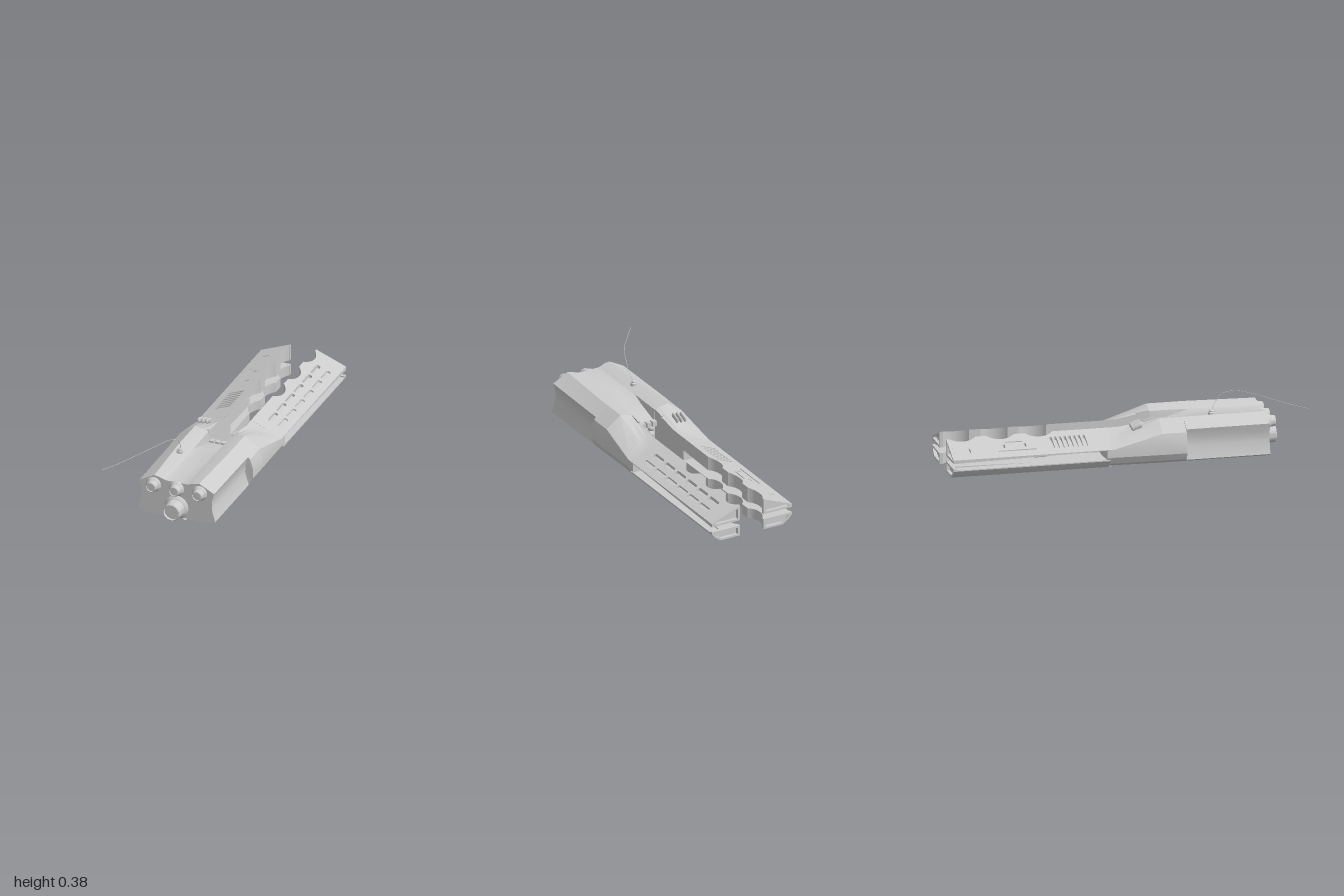
import * as THREE from 'three';
import { toCreasedNormals } from 'three/addons/utils/BufferGeometryUtils.js';

const CX = 0.058; // the hull is symmetric about this x

export function createModel() {
  const model = new THREE.Group();
  const hull = new THREE.Group();
  hull.name = 'device';
  hull.position.x = CX;
  model.add(hull);
  const material = new THREE.MeshStandardMaterial({ color: 0xcccccc });

  const add = (name, geometry, x = 0, y = 0, z = 0) => {
    const mesh = new THREE.Mesh(geometry, material);
    mesh.name = name;
    mesh.position.set(x, y, z);
    hull.add(mesh);
    return mesh;
  };

  // Mirrors a geometry in x and restores its winding
  const mirror = (source) => {
    const g = source.index ? source.toNonIndexed() : source.clone();
    g.scale(-1, 1, 1);
    for (const a of Object.values(g.attributes)) {
      const n = a.itemSize;
      for (let i = 0; i < a.count; i += 3) for (let k = 0; k < n; k++) {
        const p = (i + 1) * n + k, q = (i + 2) * n + k;
        [a.array[p], a.array[q]] = [a.array[q], a.array[p]];
      }
    }
    g.computeVertexNormals();
    return toCreasedNormals(g, 0.5);
  };
  const addPair = (name, g) => {
    add('left' + name, toCreasedNormals(g, 0.5));
    add('right' + name, mirror(g));
  };

  // Skin through rings ordered front to back, with caps at both ends
  const loft = (rings) => {
    const n = rings[0].length, index = [];
    for (let i = 0; i < rings.length - 1; i++) for (let j = 0; j < n; j++) {
      const a = i * n + j, b = i * n + (j + 1) % n;
      index.push(a, b, b + n, a, b + n, a + n);
    }
    const cap = (r, front) => {
      const pts = rings[r].map((p) => new THREE.Vector2(p[0], p[1]));
      for (const [a, b, c] of THREE.ShapeUtils.triangulateShape(pts, [])) {
        const ccw = THREE.ShapeUtils.area([pts[a], pts[b], pts[c]]) > 0;
        const t = ccw === front ? [a, b, c] : [a, c, b];
        index.push(...t.map((k) => k + r * n));
      }
    };
    cap(0, true);
    cap(rings.length - 1, false);
    const g = new THREE.BufferGeometry();
    g.setAttribute('position', new THREE.Float32BufferAttribute(rings.flat(2), 3));
    g.setIndex(index);
    g.computeVertexNormals();
    return g;
  };

  // Half cross-sections, from the inner top edge around to the inner bottom
  const bottom = [[0.2, 0.01], [0.15, 0.003], [0.07, 0.012]];
  const nose = [[0.07, 0.23], [0.1, 0.24], [0.135, 0.248], [0.225, 0.2], [0.212, 0.15], [0.211, 0.1], [0.232, 0.025], ...bottom];
  const neck = [[0.07, 0.231], [0.1, 0.241], [0.15, 0.252], [0.228, 0.2], ...nose.slice(4)];
  const shell = [[0.07, 0.231], [0.1, 0.241], [0.15, 0.252], [0.24, 0.187], [0.257, 0.13], [0.257, 0.07], [0.235, 0.03], ...bottom];
  const wedge = [[0.07, 0.193], [0.1, 0.181], [0.14, 0.165], [0.24, 0.127], [0.257, 0.118], ...shell.slice(5)];

  // Front hull, with a ramped recess in its top
  const fullRing = (half, z, floor) => {
    const right = [[0.065, floor], ...half];
    const left = right.map(([x, y]) => [-x, y]).reverse();
    return [[0, floor], ...right, [0, 0.014], ...left].map(([x, y]) => [x, y, z]);
  };
  add('frontHull', toCreasedNormals(loft([
    fullRing(nose, 0.82, 0.228), fullRing(neck, 0.42, 0.229), fullRing(neck, 0.34, 0.205),
    fullRing(shell, 0.339, 0.205), fullRing(shell, 0.2, 0.165),
  ]), 0.5));

  // Sloping shoulders on both sides of the slot
  const slopeZ = [0, -0.01, -0.025, -0.065, -0.07];
  addPair('Shoulder', loft([
    shell.map(([x, y]) => [x, y, 0.2]),
    wedge.map(([x, y], i) => [x, y + 0.003, slopeZ[i] ?? -0.08]),
    wedge.map(([x, y]) => [x, y, -0.12]),
  ]));

  // Arm outline seen from above, with three round bites in the inner edge
  const armShape = (outer, holes = []) => {
    const s = new THREE.Shape();
    const a = Math.acos(0.07 / 0.105);
    s.moveTo(outer, 0.98);
    s.lineTo(outer, 0.08);
    s.lineTo(0.07, 0.08);
    return finish(s, a, holes);
  };
  function finish(s, a, holes) {
    for (const c of [0.47, 0.69, 0.91]) {
      s.lineTo(0.07, c - 0.105 * Math.sin(a));
      s.absarc(0, c, 0.105, -a, c > 0.9 ? Math.asin(0.07 / 0.105) : a, false);
    }
    s.closePath();
    s.holes = holes;
    return s;
  }
  // Extrudes the outline upward, then shapes it between two slanted planes
  const armGeometry = (shape, low, high, t0 = 0, t1 = 1) => {
    const g = new THREE.ExtrudeGeometry(shape, { depth: 1, bevelEnabled: false, curveSegments: 14 });
    g.rotateX(-Math.PI / 2);
    const p = g.attributes.position;
    for (let i = 0; i < p.count; i++) {
      const x = p.getX(i), s = -p.getZ(i);
      p.setY(i, THREE.MathUtils.lerp(low(x, s), high(x, s), p.getY(i) > 0.5 ? t1 : t0));
    }
    g.computeVertexNormals();
    return g;
  };
  const upperLow = (x, s) => 0.117 - 0.019 * (s - 0.12);
  const upperHigh = (x) => 0.195 - 0.4 * (x - 0.07);
  const lowerHigh = (x, s) => 0.055 + 0.015 * (s - 0.12);

  // Rounded slot cut-out
  const slot = (x, s, w, l) => {
    const h = new THREE.Path(), r = Math.min(w, l) * 0.45, a = w / 2, b = l / 2;
    h.moveTo(x - a, s - b + r);
    h.quadraticCurveTo(x - a, s - b, x - a + r, s - b);
    h.lineTo(x + a - r, s - b);
    h.quadraticCurveTo(x + a, s - b, x + a, s - b + r);
    h.lineTo(x + a, s + b - r);
    h.quadraticCurveTo(x + a, s + b, x + a - r, s + b);
    h.lineTo(x - a + r, s + b);
    h.quadraticCurveTo(x - a, s + b, x - a, s + b - r);
    return h;
  };
  const vents = [], grille = [];
  for (let i = 0; i < 6; i++) for (const x of [0.146, 0.206]) vents.push(slot(x, 0.215 + i * 0.122, 0.024, 0.1));
  for (let i = 0; i < 8; i++) grille.push(slot(0.163, 0.225 + i * 0.027, 0.095, 0.014));
  for (const [x, s, w, l] of [[0.135, 0.63, 0.008, 0.1], [0.165, 0.57, 0.03, 0.012], [0.205, 0.62, 0.008, 0.22], [0.165, 0.69, 0.03, 0.012], [0.185, 0.89, 0.04, 0.008]])
    grille.push(slot(x, s, w, l));

  // Upper arms: solid base with a pierced cover, vents on one side, grille on the other
  addPair('UpperArmBase', armGeometry(armShape(0.257), upperLow, upperHigh, 0, 0.7));
  add('leftUpperArmCover', toCreasedNormals(armGeometry(armShape(0.257, vents), upperLow, upperHigh, 0.7, 1), 0.5));
  add('rightUpperArmCover', mirror(armGeometry(armShape(0.257, grille), upperLow, upperHigh, 0.7, 1)));

  // Lower arms with a bevelled outer edge
  addPair('LowerArm', armGeometry(armShape(0.2), () => 0.006, lowerHigh));
  const polygon = (pts) => new THREE.Shape(pts.map(([x, y]) => new THREE.Vector2(x, y)));
  const prism = (shape, depth, z) =>
    new THREE.ExtrudeGeometry(shape, { depth, bevelEnabled: false }).translate(0, 0, z);
  addPair('LowerArmEdge', prism(polygon([[0.2, 0.006], [0.235, 0.03], [0.257, 0.055], [0.257, 0.061], [0.2, 0.061]]), 0.88, -0.98));

  // Hollow frames closing the arm tips
  const frame = (outer, inner) => {
    const s = polygon(outer);
    s.holes.push(polygon(inner));
    return prism(s, 0.02, -1);
  };
  addPair('UpperTip', frame([[0.076, 0.1], [0.257, 0.1], [0.257, 0.12], [0.076, 0.192]], [[0.09, 0.112], [0.235, 0.112], [0.235, 0.118], [0.09, 0.174]]));
  addPair('LowerTip', frame([[0.076, 0.006], [0.2, 0.006], [0.235, 0.03], [0.257, 0.055], [0.257, 0.068], [0.076, 0.068]],
    [[0.09, 0.017], [0.195, 0.017], [0.225, 0.036], [0.24, 0.057], [0.09, 0.057]]));

  // Dovetail rail under the hull
  add('bottomRail', prism(polygon([[-0.052, 0], [0.052, 0], [0.03, 0.018], [-0.03, 0.018]]), 0.62, 0.2));

  // Front nozzles: three small, one large
  const nozzle = (pts) => toCreasedNormals(
    new THREE.LatheGeometry(pts.map(([r, h]) => new THREE.Vector2(r, h)), 36).rotateX(Math.PI / 2), 0.5);
  const small = nozzle([[0.044, -0.01], [0.044, 0.006], [0.039, 0.014], [0.034, 0.02], [0.03, 0.045], [0.026, 0.048], [0.024, 0.042], [0, 0.042]]);
  for (const x of [-0.139, 0, 0.139]) add('smallNozzle', small, x, 0.19, 0.82);
  add('largeNozzle', nozzle([[0.07, -0.01], [0.07, 0.01], [0.062, 0.02], [0.056, 0.024], [0.051, 0.076], [0.046, 0.082], [0.043, 0.07], [0, 0.07]]), 0, 0.076, 0.82);

  // Studs at the end of the slot
  const stud = new THREE.SphereGeometry(0.02, 16, 10);
  for (let i = 0; i < 3; i++) for (let j = 0; j < 3; j++) add('stud', stud, (i - 1) * 0.042, 0.05 + j * 0.04, 0.196);
  for (let i = 0; i < 4; i++) add('contactBlock', new THREE.BoxGeometry(0.026, 0.03, 0.03), (i - 1.5) * 0.035, 0.16, 0.185);
  for (const s of [-1, 1]) {
    const bracket = add('recessBracket', new THREE.BoxGeometry(0.012, 0.02, 0.07), s * 0.074, 0.222, 0.16);
    bracket.rotation.x = -0.17;
  }

  // Three fins and a round cover on the slopes
  for (const x of [-0.175, -0.15, -0.125]) {
    const fin = add('slopeFin', new THREE.CapsuleGeometry(0.008, 0.05, 4, 10), x, 0.2227 + 0.1 * (x + 0.15), 0.068);
    fin.rotation.x = Math.PI / 2 - 0.33;
    fin.scale.z = 2;
  }
  const cover = add('slopeCover', new THREE.TorusGeometry(0.026, 0.002, 6, 24), 0.192, 0.167, 0.01);
  cover.quaternion.setFromUnitVectors(new THREE.Vector3(0, 0, 1), new THREE.Vector3(0.31, 1, -0.4).normalize());

  // Aerial: stepped socket and trailing wire
  const socket = new THREE.LatheGeometry([[0.018, -0.012], [0.018, 0.006], [0.013, 0.009], [0.013, 0.016], [0.008, 0.02], [0, 0.021]]
    .map(([r, h]) => new THREE.Vector2(r, h)), 24);
  add('aerialSocket', toCreasedNormals(socket, 0.5), -0.055 - CX, 0.25, 0.51);
  const path = new THREE.CatmullRomCurve3([
    [-0.052, 0.262, 0.51], [-0.041, 0.315, 0.54], [-0.046, 0.357, 0.575], [-0.072, 0.376, 0.64],
    [-0.125, 0.366, 0.735], [-0.2, 0.344, 0.84], [-0.26, 0.327, 0.925], [-0.318, 0.318, 1],
  ].map(([x, y, z]) => new THREE.Vector3(x - CX, y, z)));
  add('aerialWire', new THREE.TubeGeometry(path, 64, 0.0015, 6));

  return model;
}
